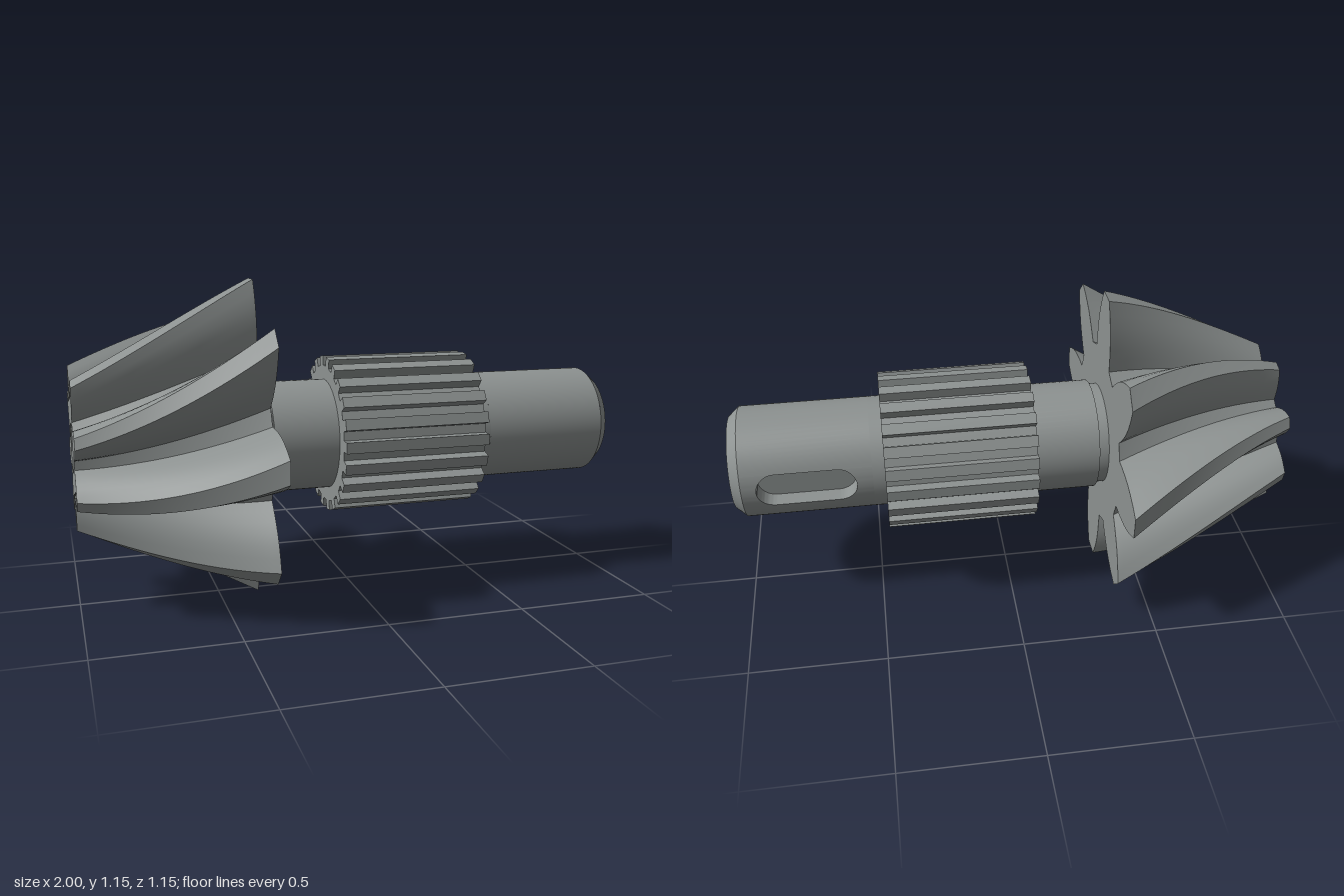
import * as THREE from 'three';
import { toCreasedNormals } from 'three/addons/utils/BufferGeometryUtils.js';
import { ParametricGeometry } from 'three/addons/geometries/ParametricGeometry.js';

const AXIS_Y = 0.576;
const R = 0.2025; // shaft radius
const GEAR_X = -0.357; // large face of the gear
const steel = 0x8d9291;
const solid = new THREE.MeshStandardMaterial({ color: steel });
const open = new THREE.MeshStandardMaterial({ color: steel, side: THREE.DoubleSide });

// Lays shape X, Y and extrusion Z along world y, z and x
const alongX = new THREE.Matrix4().makeBasis(
  new THREE.Vector3(0, 1, 0), new THREE.Vector3(0, 0, 1), new THREE.Vector3(1, 0, 0));

function part(name, geometry, material = solid, crease = 0.5) {
  const mesh = new THREE.Mesh(toCreasedNormals(geometry, crease), material);
  mesh.name = name;
  return mesh;
}

// Turned surface around the x axis from [x, radius] pairs
function turned(profile, start = 0, length = Math.PI * 2) {
  const points = profile.map(([x, r]) => new THREE.Vector2(r, x));
  return new THREE.LatheGeometry(points, 64, start, length).rotateZ(-Math.PI / 2);
}

// Toothed outline: half profile of a tooth as [radial, half width], root to tip
function toothedShape(count, half, hole) {
  const tooth = [...half.map(([r, w]) => [r, -w]), ...half.slice().reverse()];
  const points = [];
  for (let i = 0; i < count; i++) {
    const a = (i / count) * Math.PI * 2;
    for (const [r, w] of tooth) {
      points.push(new THREE.Vector2(r, w).rotateAround(new THREE.Vector2(), a));
    }
  }
  const shape = new THREE.Shape(points);
  shape.holes.push(new THREE.Path().absarc(0, 0, hole, 0, Math.PI * 2, true));
  return shape;
}

// Tapered gear: straight extrusion, then scaled and twisted towards the small end
function bevelGear() {
  const length = GEAR_X + 1, twist = THREE.MathUtils.degToRad(31);
  const half = [[0.327, 0.1], [0.368, 0.1], [0.41, 0.097], [0.45, 0.091],
    [0.49, 0.08], [0.53, 0.064], [0.576, 0.04]];
  const shape = toothedShape(8, half, 0.09);
  const g = new THREE.ExtrudeGeometry(shape, {
    depth: length, steps: 28, bevelEnabled: false, curveSegments: 24 });
  const p = g.attributes.position;
  for (let i = 0; i < p.count; i++) {
    const x = p.getX(i), y = p.getY(i), t = 1 - p.getZ(i) / length;
    if (Math.hypot(x, y) < 0.15) continue; // the bore stays straight
    const s = 1 - 0.5 * t, c = Math.cos(twist * t), n = Math.sin(twist * t);
    p.setXY(i, s * (x * c - y * n), s * (x * n + y * c));
  }
  return g.applyMatrix4(alongX).translate(-1, 0, 0);
}

// Straight splined collar, with gaps at the top and bottom
function splineCollar() {
  const shape = toothedShape(22, [[0.253, 0.02], [0.288, 0.02]], 0.19);
  return new THREE.ExtrudeGeometry(shape, { depth: 0.541, bevelEnabled: false, curveSegments: 32 })
    .applyMatrix4(alongX).rotateX(Math.PI / 2).translate(-0.085, 0, 0);
}

// Shaft section with a round-ended keyway cut into its back
function keywaySection(x0, x1) {
  const group = new THREE.Group();
  group.name = 'keywaySection';
  const w = 0.066, floor = -0.13, left = 0.557 + w, right = 0.91 - w;
  const a = Math.asin(w / R);
  const skin = (y) => -Math.sqrt(R * R - y * y);
  group.add(part('keywayShaftWall',
    turned([[x0, R], [x1, R]], Math.PI + a, Math.PI * 2 - 2 * a), open));

  // Skin between each end of the section and the rounded slot end
  for (const [edge, centre, dir] of [[x0, left, -1], [x1, right, 1]]) {
    group.add(part('keywayEndSkin', new ParametricGeometry((u, v, target) => {
      const s = (v - 0.5) * Math.PI, y = w * Math.sin(s);
      target.set(THREE.MathUtils.lerp(edge, centre + dir * w * Math.cos(s), u), y, skin(y));
    }, 2, 20), open));
  }

  // Slot outline gives both the floor and the side walls
  const slot = new THREE.Shape();
  slot.absarc(right, 0, w, -Math.PI / 2, Math.PI / 2, false);
  slot.absarc(left, 0, w, Math.PI / 2, Math.PI * 1.5, false);
  slot.closePath();
  const rim = slot.getPoints(16);
  group.add(part('keywayFloor', new THREE.ShapeGeometry(slot, 16).translate(0, 0, floor), open));
  group.add(part('keywayWall', new ParametricGeometry((u, v, target) => {
    const q = rim[Math.min(rim.length - 1, Math.max(0, Math.round(u * (rim.length - 1))))];
    target.set(q.x, q.y, v < 0.5 ? skin(q.y) : floor);
  }, rim.length - 1, 1), open));
  return group;
}

export function createModel() {
  const model = new THREE.Group();
  model.name = 'pinionShaft';
  const body = new THREE.Group();
  body.name = 'shaftAssembly';
  body.position.y = AXIS_Y;

  body.add(part('bevelGear', bevelGear()));
  body.add(part('gearBoreFloor', turned([[-0.7, 0.09], [-0.7, 0]]), open));
  body.add(part('shaft', turned([[GEAR_X, 0.187], [-0.32, 0.187], [-0.32, R], [0.5, R]])));
  body.add(part('splineCollar', splineCollar()));
  body.add(keywaySection(0.5, 0.962));
  // Chamfered end with a blind bore
  body.add(part('shaftEndAndBore',
    turned([[0.962, R], [1, 0.17], [1, 0.1], [0.985, 0.085], [0.7, 0.085], [0.7, 0]])));

  model.add(body);
  return model;
}
